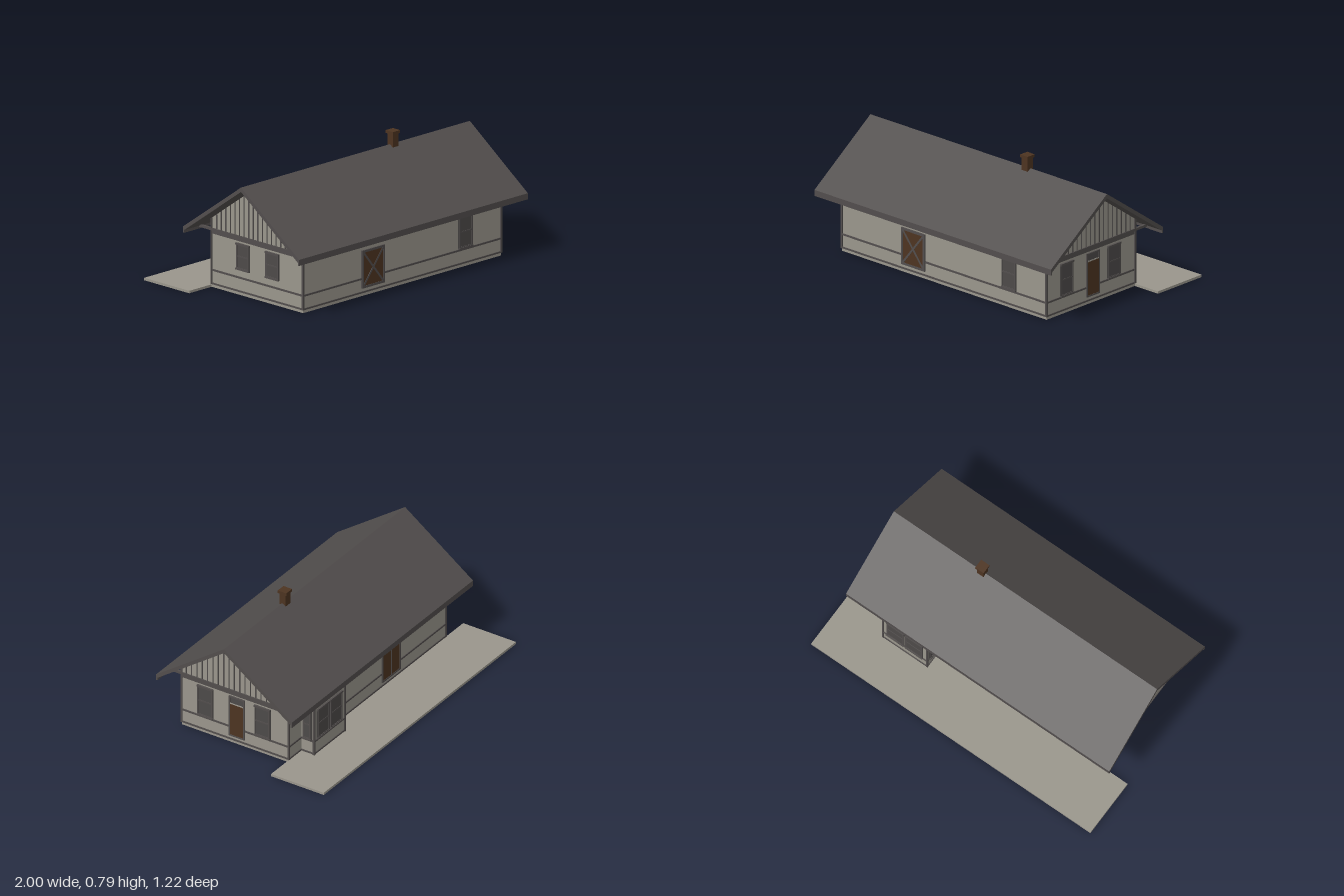
import * as THREE from 'three';

const mat = (name, color) => Object.assign(new THREE.MeshStandardMaterial({ color }), { name });

export function createModel() {
  const siding = mat('siding', 0x9a968c);
  const dark = mat('dark trim and roof', 0x524e4d);
  const glass = mat('window glass', 0x4d4a49);
  const brown = mat('brown wood', 0x4d3421);
  const model = new THREE.Group();
  model.name = 'station';

  // box given by its limits on each axis
  function box(parent, name, m, x0, x1, y0, y1, z0, z1) {
    const mesh = new THREE.Mesh(new THREE.BoxGeometry(x1 - x0, y1 - y0, z1 - z0), m);
    mesh.position.set((x0 + x1) / 2, (y0 + y1) / 2, (z0 + z1) / 2);
    mesh.name = name;
    parent.add(mesh);
    return mesh;
  }

  // profile of [z, y] points swept along x
  function sweep(name, m, pts, x0, x1) {
    const shape = new THREE.Shape(pts.map(([z, y]) => new THREE.Vector2(-z, y)));
    const geo = new THREE.ExtrudeGeometry(shape, { depth: x1 - x0, bevelEnabled: false });
    geo.rotateY(Math.PI / 2).translate(x0, 0, 0);
    const mesh = new THREE.Mesh(geo, m);
    mesh.name = name;
    model.add(mesh);
  }

  // wall group: local x runs along the wall, local z points outwards
  function wall(name, x, z, angle) {
    const g = new THREE.Group();
    g.name = name;
    g.position.set(x, 0, z);
    g.rotation.y = angle;
    model.add(g);
    return g;
  }

  const X = 0.815, ZF = 0.51, ZB = -0.24, RIDGE = 0.13, SLOPE = 0.711;
  const under = z => 0.683 - Math.abs(z - RIDGE) * SLOPE;

  // base and platform
  box(model, 'foundation', siding, -X, X, 0, 0.018, ZB, ZF);
  box(model, 'platform', siding, -1, 1, 0, 0.015, -0.61, ZB);

  // walls with gables
  sweep('walls', siding, [[ZF, 0.018], [ZF, under(ZF)], [RIDGE, under(RIDGE)], [ZB, under(ZB)], [ZB, 0.018]], -X, X);

  // roof with fascia at both eaves
  sweep('roof', dark, [
    [0.606, 0.335], [0.606, 0.372], [RIDGE, 0.71], [-0.346, 0.372], [-0.346, 0.335],
    [-0.336, 0.335], [-0.336, 0.352], [RIDGE, 0.683], [0.596, 0.352], [0.596, 0.335],
  ], -0.945, 0.94);

  // chimney
  box(model, 'chimney', brown, 0.282, 0.33, 0.66, 0.775, 0.108, 0.153);
  box(model, 'chimneyCap', brown, 0.276, 0.336, 0.773, 0.79, 0.1, 0.16);

  // bands around a wall, u = position along it
  function bands(g, u0, u1) {
    box(g, 'baseBand', dark, u0, u1, 0.018, 0.028, 0, 0.005);
    box(g, 'waistBand', dark, u0, u1, 0.1, 0.111, 0, 0.005);
    box(g, 'topBand', dark, u0, u1, 0.327, 0.345, 0, 0.005);
  }

  function frame(g, name, u0, u1, y0, y1, w, d) {
    box(g, name, dark, u0, u0 + w, y0, y1, 0, d);
    box(g, name, dark, u1 - w, u1, y0, y1, 0, d);
    box(g, name, dark, u0 + w, u1 - w, y1 - w, y1, 0, d);
    box(g, name, dark, u0 + w, u1 - w, y0, y0 + w, 0, d);
  }

  function sashWindow(g, u, w, y0, y1) {
    const win = new THREE.Group();
    win.name = 'window';
    g.add(win);
    const a = u - w / 2, b = u + w / 2, mid = (y0 + y1) / 2;
    box(win, 'glass', glass, a, b, y0, y1, 0, 0.0055);
    frame(win, 'windowFrame', a + 0.003, b - 0.003, y0, y1, 0.009, 0.009);
    box(win, 'meetingRail', dark, a + 0.01, b - 0.01, mid - 0.004, mid + 0.004, 0, 0.008);
    box(win, 'sill', dark, a, b, y0 - 0.005, y0 + 0.004, 0, 0.013);
    box(win, 'headCap', dark, a, b, y1 - 0.01, y1 + 0.002, 0, 0.012);
  }

  // front wall: braced freight door and one window
  const front = wall('frontWall', 0, ZF, 0);
  bands(front, -X, X);
  sashWindow(front, 0.518, 0.117, 0.117, 0.313);
  box(front, 'freightDoor', brown, -0.335, -0.15, 0.047, 0.275, 0, 0.007);
  frame(front, 'doorFrame', -0.337, -0.149, 0.047, 0.277, 0.014, 0.0095);
  for (const s of [-1, 1]) {
    const brace = box(front, 'doorBrace', dark, -0.006, 0.006, -0.128, 0.128, 0, 0.004);
    brace.position.set(-0.243, 0.162, 0.007);
    brace.rotation.z = s * Math.atan2(0.16, 0.2);
  }

  // back wall: double door
  const back = wall('backWall', 0, ZB, Math.PI);
  bands(back, -X, X);
  box(back, 'doubleDoor', brown, 0.15, 0.335, 0.047, 0.275, 0, 0.007);
  frame(back, 'doorFrame', 0.149, 0.337, 0.047, 0.277, 0.01, 0.0095);
  box(back, 'doorStile', dark, 0.24, 0.246, 0.05, 0.27, 0, 0.009);

  // end walls: gable battens, tie beam and openings
  for (const s of [1, -1]) {
    const g = wall(s > 0 ? 'leftEndWall' : 'rightEndWall', s * X, 0, s * Math.PI / 2);
    const ends = [-s * ZF, -s * ZB].sort((a, b) => a - b);
    bands(g, ends[0], ends[1]);
    const tie = [-s * 0.605, s * 0.336].sort((a, b) => a - b);
    box(g, 'tieBeam', dark, tie[0], tie[1], 0.345, 0.36, -0.008, 0.007);
    for (let i = -9; i <= 9; i++) {
      const z = RIDGE + 0.01 + i * 0.0375, u = -s * z;
      box(g, 'batten', dark, u - 0.003, u + 0.003, 0.36, under(z), 0, 0.004);
    }
    if (s > 0) {
      sashWindow(g, -0.342, 0.112, 0.113, 0.313);
      sashWindow(g, 0.058, 0.112, 0.113, 0.313);
      box(g, 'transom', glass, -0.172, -0.067, 0.26, 0.312, 0, 0.006);
      box(g, 'transomBar', siding, -0.167, -0.073, 0.264, 0.271, 0, 0.0085);
      box(g, 'door', brown, -0.17, -0.07, 0.047, 0.264, 0, 0.007);
      frame(g, 'doorFrame', -0.175, -0.065, 0.046, 0.317, 0.009, 0.0095);
    } else {
      sashWindow(g, 0.02, 0.11, 0.158, 0.313);
      sashWindow(g, 0.26, 0.11, 0.158, 0.313);
    }
  }

  // corner posts
  for (const x of [-X, X])
    for (const z of [ZF, ZB])
      box(model, 'cornerPost', dark, x - 0.006, x + 0.006, 0.018, under(z) + 0.004, z - 0.006, z + 0.006);

  // bay on the platform side
  const B0 = 0.37, B1 = 0.685, BZ = -0.33;
  box(model, 'bay', siding, B0, B1, 0.015, 0.352, BZ, ZB);
  const bayBack = wall('bayBack', 0, BZ, Math.PI);
  bands(bayBack, -B1, -B0);
  for (const u of [-0.595, -0.462]) sashWindow(bayBack, u, 0.126, 0.115, 0.311);
  for (const [x, s] of [[B1, 1], [B0, -1]]) {
    const g = wall('baySide', x, 0, s * Math.PI / 2);
    const u = s > 0 ? [0.24, 0.33] : [-0.33, -0.24];
    bands(g, u[0], u[1]);
    sashWindow(g, s * 0.283, 0.062, 0.113, 0.311);
    box(model, 'bayPost', dark, x - 0.006, x + 0.006, 0.015, 0.352, BZ - 0.006, BZ + 0.006);
  }
  return model;
}
